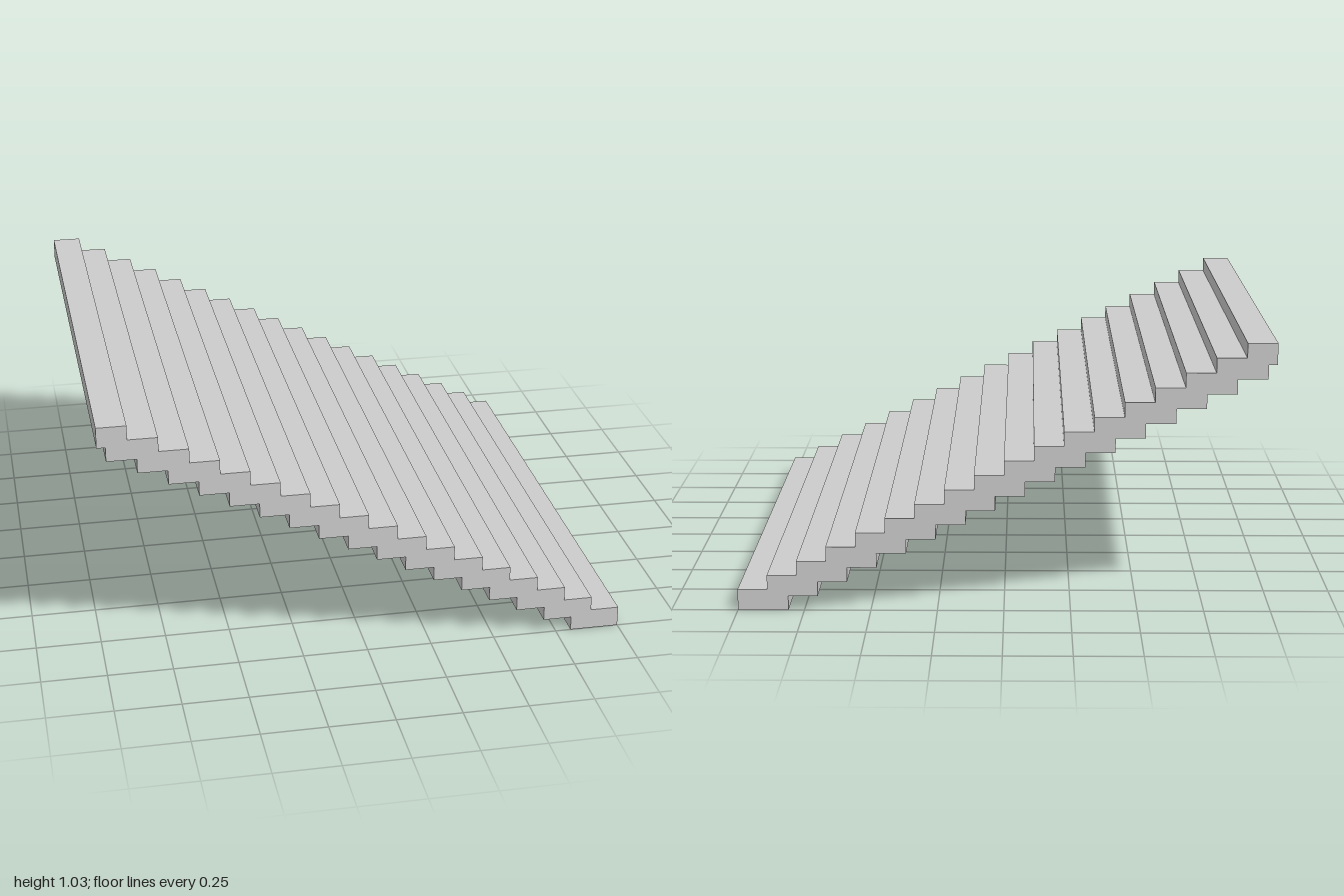
import * as THREE from 'three';

const STEPS = 18;
const TREAD = 2 / STEPS;      // depth of one step
const RISE = 0.0556;          // height between steps
const THICKNESS = 0.08;       // height of each slab
const FIRST_SLAB = 0.19;      // underside length of the lowest slab
const WIDTH = 2;

// Stepped outline: up along the treads, then back down along the underside
function stairProfile() {
  const points = [];
  for (let i = 0; i < STEPS; i++) {
    const top = THICKNESS + i * RISE;
    points.push(new THREE.Vector2(1 - i * TREAD, top));
    points.push(new THREE.Vector2(1 - (i + 1) * TREAD, top));
  }
  for (let i = STEPS - 1; i >= 0; i--) {
    const bottom = i * RISE;
    points.push(new THREE.Vector2(Math.max(-1, 1 - FIRST_SLAB - i * TREAD), bottom));
    points.push(new THREE.Vector2(i === 0 ? 1 : 1 - FIRST_SLAB - (i - 1) * TREAD, bottom));
  }
  return new THREE.Shape(points);
}

export function createModel() {
  const model = new THREE.Group();
  model.name = 'staircase';

  // Full flight, extruded across its width
  const geometry = new THREE.ExtrudeGeometry(stairProfile(), { depth: WIDTH, bevelEnabled: false });
  geometry.translate(0, 0, -WIDTH / 2);
  const material = new THREE.MeshStandardMaterial({ color: 0xcccccc, flatShading: true });
  const flight = new THREE.Mesh(geometry, material);
  flight.name = 'stairFlight';
  model.add(flight);

  return model;
}
